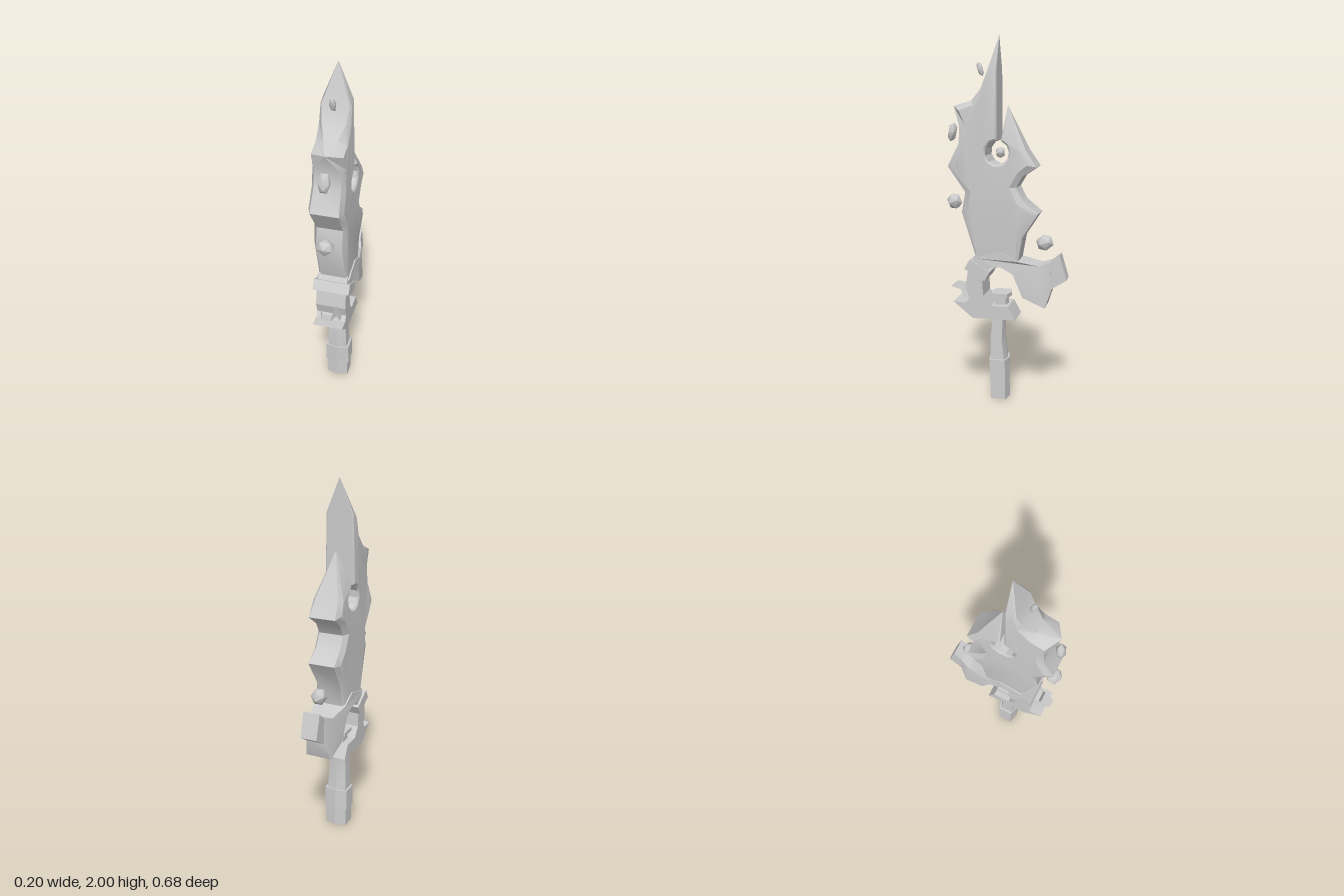
import * as THREE from 'three';
import { toCreasedNormals } from 'three/addons/utils/BufferGeometryUtils.js';

const material = new THREE.MeshStandardMaterial({ color: 0xcccccc });

function meshOf(name, geometry, crease = 0.4) {
  const mesh = new THREE.Mesh(toCreasedNormals(geometry, crease), material);
  mesh.name = name;
  return mesh;
}

function geometryFrom(triangles) {
  const solid = triangles.filter(([a, b, c]) =>
    b.clone().sub(a).cross(c.clone().sub(a)).length() > 1e-8);
  return new THREE.BufferGeometry().setFromPoints(solid.flat());
}

// Mirrored plate from a side outline of [z, y, edgeHalfWidth, inset, faceHalfWidth].
// Points with a zero face width are sharp tips.
function plate(outline) {
  const n = outline.length;
  const flat = outline.map(p => new THREE.Vector2(-p[0], p[1]));
  const outer = [], inner = [];
  outline.forEach(([, , edge, inset = 0, face = edge], i) => {
    const p = flat[i];
    const d1 = p.clone().sub(flat[(i + n - 1) % n]).normalize();
    const d2 = flat[(i + 1) % n].clone().sub(p).normalize();
    const k = inset / Math.max(0.5, 1 + d1.dot(d2));
    outer.push(new THREE.Vector3(edge, p.y, -p.x));
    inner.push(new THREE.Vector3(face, p.y + (d1.x + d2.x) * k, -p.x + (d1.y + d2.y) * k));
  });
  const flip = v => new THREE.Vector3(-v.x, v.y, v.z);
  const tris = [];
  const quad = (a, b, c, d) => tris.push([a, b, c], [a, c, d]);
  const side = (a, b, c) => tris.push([a, b, c], [flip(a), flip(c), flip(b)]);

  // bevels and rim
  for (let i = 0; i < n; i++) {
    const j = (i + 1) % n;
    quad(outer[i], outer[j], inner[j], inner[i]);
    quad(flip(outer[i]), flip(outer[j]), outer[j], outer[i]);
    quad(flip(inner[i]), flip(inner[j]), flip(outer[j]), flip(outer[i]));
  }
  // side faces, with the tips added separately
  const isTip = i => inner[i].x === 0;
  const body = [];
  for (let i = 0; i < n; i++) {
    if (isTip(i)) side(inner[(i + n - 1) % n], inner[i], inner[(i + 1) % n]);
    else body.push(inner[i]);
  }
  const contour = body.map(v => new THREE.Vector2(-v.z, v.y));
  for (const [a, b, c] of THREE.ShapeUtils.triangulateShape(contour, [])) {
    const turn = contour[b].clone().sub(contour[a]).cross(contour[c].clone().sub(contour[a]));
    if (turn > 0) side(body[a], body[b], body[c]);
    else side(body[a], body[c], body[b]);
  }
  return geometryFrom(tris);
}

// Six-sided column from rings of [y, zCentre, halfX, halfZ]
function hexColumn(rings) {
  const section = [[0, 1], [1, 0.75], [1, -0.75], [0, -1], [-1, -0.75], [-1, 0.75]];
  const loops = rings.map(([y, z, hx, hz]) =>
    section.map(([sx, sz]) => new THREE.Vector3(sx * hx, y, z + sz * hz)));
  const tris = [];
  for (let r = 0; r + 1 < loops.length; r++) {
    for (let i = 0; i < 6; i++) {
      const j = (i + 1) % 6, lo = loops[r], hi = loops[r + 1];
      tris.push([lo[i], lo[j], hi[j]], [lo[i], hi[j], hi[i]]);
    }
  }
  const bottom = loops[0], top = loops[loops.length - 1];
  for (let i = 1; i < 5; i++) {
    tris.push([bottom[0], bottom[i + 1], bottom[i]], [top[0], top[i], top[i + 1]]);
  }
  return geometryFrom(tris);
}

function block(name, w, h, d, y, z, tilt = 0) {
  const mesh = meshOf(name, new THREE.BoxGeometry(w, h, d));
  mesh.position.set(0, y, z);
  mesh.rotation.x = tilt;
  return mesh;
}

export function createModel() {
  const model = new THREE.Group();
  model.name = 'sword';

  // round notch at the foot of the slot between the two blade points
  const notch = [];
  for (let i = 0; i <= 10; i++) {
    const a = THREE.MathUtils.degToRad(70 - i * 33.8);
    notch.push([0.043 - 0.066 * Math.cos(a), 1.385 + 0.066 * Math.sin(a), 0.078, 0.01, 0.086]);
  }

  // jagged blade
  model.add(meshOf('blade', plate([
    [0.045, 2.0, 0, 0, 0],
    [0.10, 1.80, 0.07, 0.012, 0.078],
    [0.135, 1.72, 0.06, 0.03, 0.08],
    [0.19, 1.66, 0.035, 0.03, 0.08],
    [0.30, 1.63, 0, 0.035, 0.08],
    [0.25, 1.52, 0.07, 0.035, 0.085],
    [0.255, 1.43, 0.07, 0.035, 0.088],
    [0.315, 1.31, 0.075, 0.035, 0.092],
    [0.22, 1.17, 0.07, 0.03, 0.09],
    [0.24, 1.06, 0.07, 0.035, 0.088],
    [0.155, 0.79, 0.07, 0.012, 0.082],
    [-0.07, 0.79, 0.07, 0.012, 0.082],
    [-0.095, 0.93, 0.07, 0.03, 0.085],
    [-0.18, 1.06, 0.075, 0.035, 0.088],
    [-0.095, 1.13, 0.07, 0.03, 0.09],
    [-0.06, 1.20, 0.07, 0.03, 0.09],
    [-0.095, 1.26, 0.07, 0.03, 0.09],
    [-0.17, 1.31, 0.075, 0.035, 0.09],
    [-0.11, 1.40, 0.065, 0.025, 0.086],
    [-0.002, 1.635, 0, 0, 0],
    ...notch,
    [0.045, 1.82, 0.07, 0.005, 0.076],
  ]), 0.5));

  // arched guard with a horn at the back
  model.add(meshOf('guardArch', plate([
    [0.165, 0.81, 0.09], [0.12, 0.72, 0.09], [0.077, 0.765, 0.09], [0.02, 0.765, 0.09],
    [-0.045, 0.73, 0.09], [-0.10, 0.60, 0.085], [-0.22, 0.545, 0.075],
    [-0.255, 0.65, 0.052], [-0.245, 0.795, 0.052], [-0.19, 0.775, 0.07],
    [-0.07, 0.80, 0.09], [0.024, 0.848, 0.09],
  ])));
  model.add(meshOf('hornTip', plate([
    [-0.24, 0.79, 0.05], [-0.255, 0.65, 0.05], [-0.335, 0.70, 0.047], [-0.295, 0.835, 0.047],
  ])));

  // hooked arm at the front
  model.add(meshOf('guardArm', plate([
    [0.205, 0.74, 0.084], [0.22, 0.65, 0.084], [0.20, 0.585, 0.084], [0.22, 0.555, 0.084],
    [0.29, 0.56, 0.084], [0.18, 0.47, 0.084], [-0.06, 0.47, 0.084], [-0.02, 0.545, 0.084],
    [0.077, 0.545, 0.084], [0.12, 0.60, 0.084], [0.125, 0.68, 0.084], [0.10, 0.72, 0.084],
  ])));
  model.add(meshOf('armSpike', plate([
    [0.32, 0.63, 0.025], [0.278, 0.667, 0.03], [0.205, 0.66, 0.04],
    [0.195, 0.58, 0.06], [0.24, 0.575, 0.06], [0.258, 0.62, 0.045],
  ])));
  model.add(block('collar', 0.204, 0.06, 0.13, 0.745, 0.15, -0.52));
  model.add(block('collarRim', 0.165, 0.05, 0.10, 0.785, 0.13, -0.52));

  // grip, its band and the stud above the arm
  model.add(meshOf('grip', hexColumn([
    [0, 0.042, 0.062, 0.055], [0.115, 0.043, 0.062, 0.055], [0.23, 0.047, 0.056, 0.05],
    [0.35, 0.055, 0.052, 0.043], [0.48, 0.046, 0.048, 0.038],
  ])));
  model.add(meshOf('gripBand', hexColumn([
    [0.11, 0.043, 0.070, 0.058], [0.23, 0.046, 0.068, 0.057],
  ])));
  model.add(meshOf('studNeck', hexColumn([[0.53, 0.033, 0.045, 0.04], [0.595, 0.033, 0.045, 0.04]])));
  model.add(meshOf('studCap', hexColumn([[0.588, 0.033, 0.062, 0.058], [0.61, 0.033, 0.062, 0.058]])));

  // floating shards: y, z, radii x/y/z, tilt
  const shards = [
    [1.825, 0.15, 0.018, 0.044, 0.017, 0.3],
    [1.49, 0.308, 0.034, 0.058, 0.026, -0.2],
    [1.11, 0.30, 0.05, 0.048, 0.043, 0.4],
    [1.383, 0.04, 0.034, 0.034, 0.027, 0.1],
    [0.895, -0.207, 0.043, 0.048, 0.05, 0.3],
  ];
  for (const [y, z, rx, ry, rz, tilt] of shards) {
    const shard = meshOf('shard', new THREE.IcosahedronGeometry(1, 0), 0.8);
    shard.scale.set(rx, ry, rz);
    shard.position.set(0, y, z);
    shard.rotation.x = tilt;
    model.add(shard);
  }
  return model;
}
